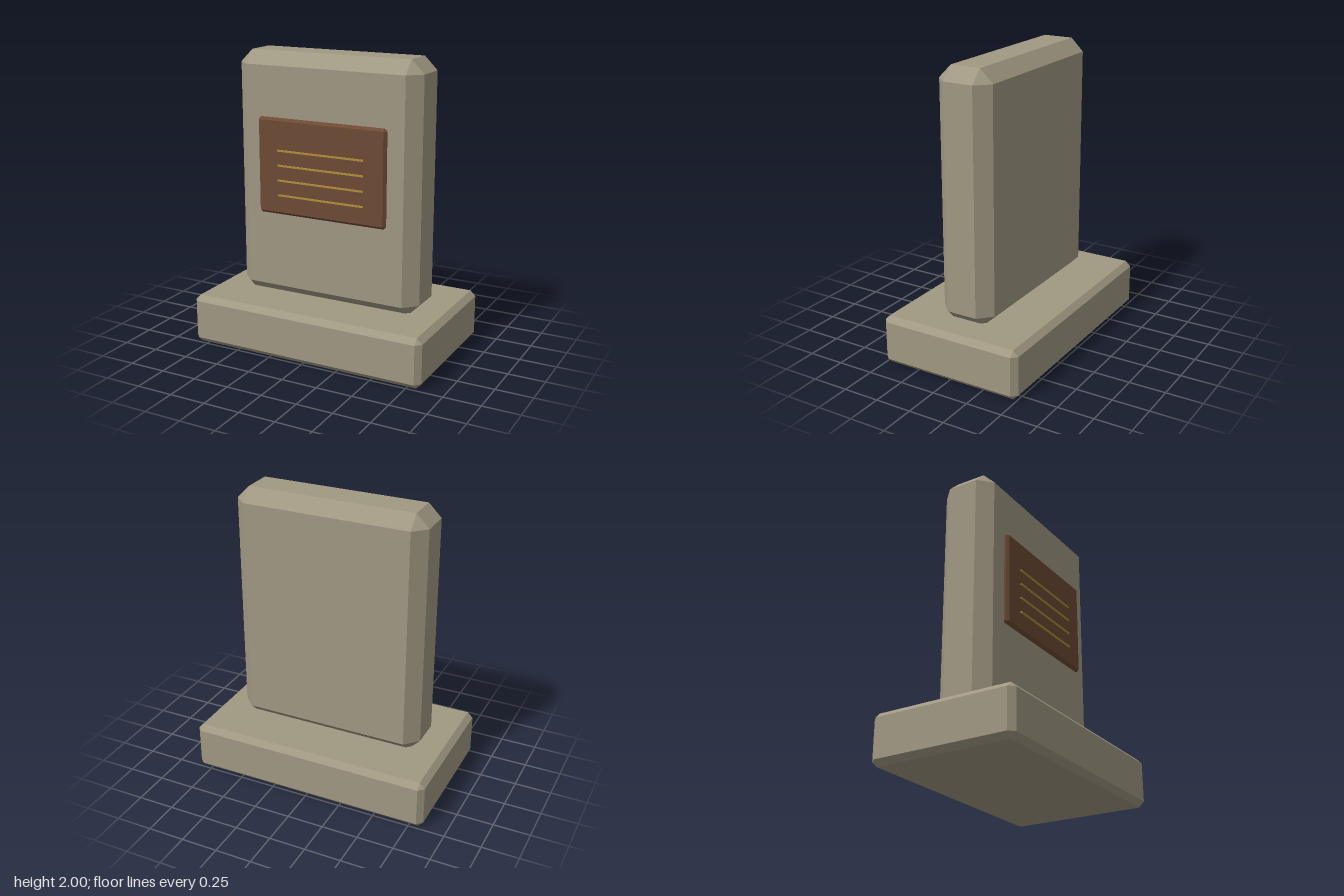
import * as THREE from 'three';
import { ConvexGeometry } from 'three/addons/geometries/ConvexGeometry.js';

// Box with flat chamfers on every edge and triangular corners
function chamferBox(w, h, d, c) {
  const points = [];
  for (const x of [-1, 1]) for (const y of [-1, 1]) for (const z of [-1, 1]) {
    const X = w / 2, Y = h / 2, Z = d / 2;
    points.push(
      new THREE.Vector3(x * X, y * (Y - c), z * (Z - c)),
      new THREE.Vector3(x * (X - c), y * Y, z * (Z - c)),
      new THREE.Vector3(x * (X - c), y * (Y - c), z * Z)
    );
  }
  return new ConvexGeometry(points);
}

export function createModel() {
  const model = new THREE.Group();
  model.name = 'memorialStone';

  const material = (color) => new THREE.MeshStandardMaterial({ color, flatShading: true });
  const stone = material(0xa09882);
  const bronze = material(0x6e4a34);
  const gold = material(0xb08d3a);

  function add(name, geometry, mat, y, z = 0) {
    const mesh = new THREE.Mesh(geometry, mat);
    mesh.name = name;
    mesh.position.set(0, y, z);
    model.add(mesh);
  }

  // Plinth, with the upright slab sunk slightly into it
  add('base', chamferBox(1.69, 0.34, 1.015, 0.037), stone, 0.17);
  add('slab', chamferBox(1.33, 1.69, 0.385, 0.088), stone, 1.155);

  // Plaque on the front with four raised lines
  add('plaque', chamferBox(0.935, 0.655, 0.041, 0.017), bronze, 1.247, 0.2115);
  for (let i = 0; i < 4; i++) {
    add(`plaqueLine${i + 1}`, new THREE.BoxGeometry(0.63, 0.012, 0.012), gold, 1.055 + i * 0.1015, 0.234);
  }

  return model;
}
